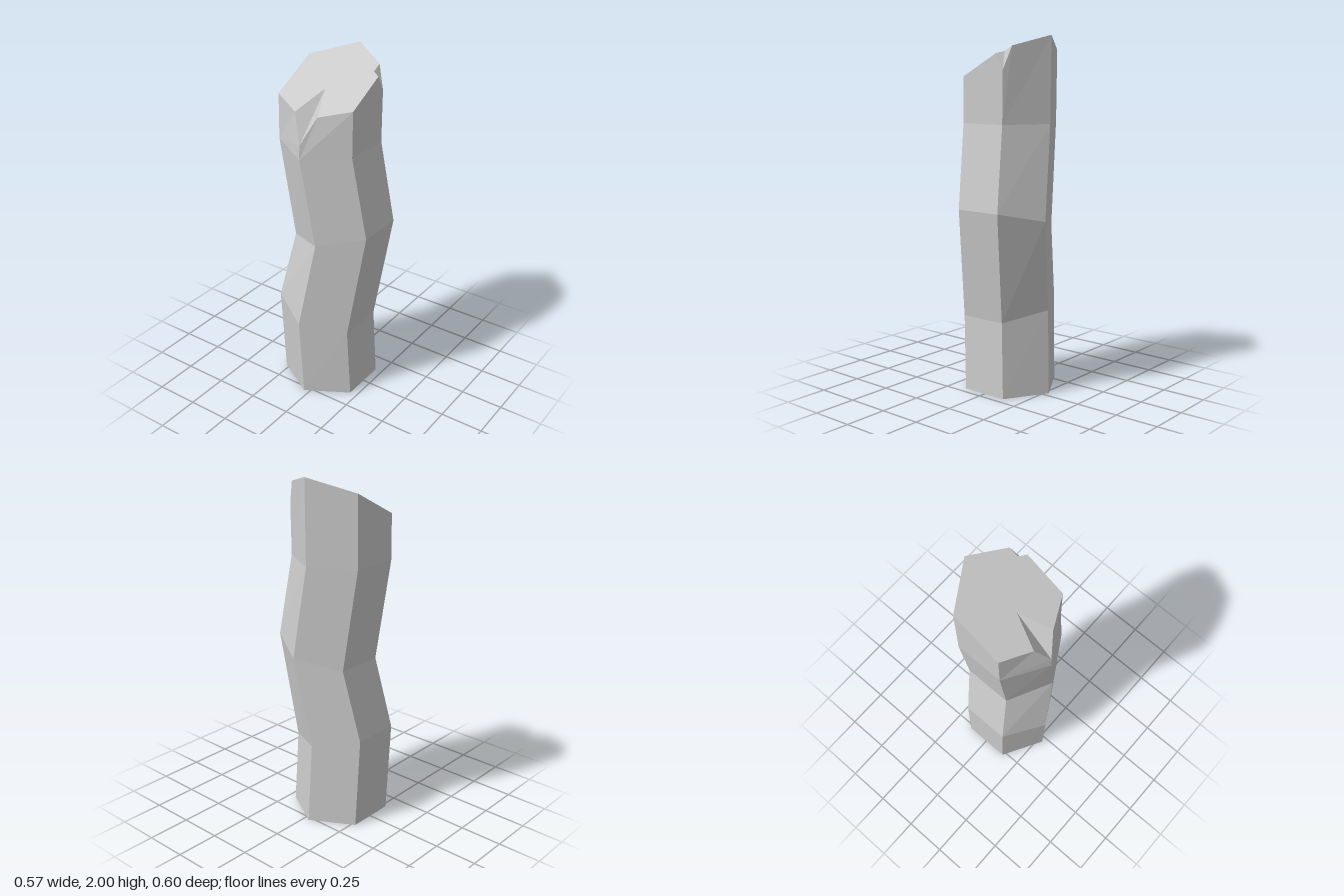
import * as THREE from 'three';

const HALF = 0.239, R = 0.278; // half width across the flats, corner radius

// six corners, counter-clockwise from above, starting at the front
function ring(cx, cz, height) {
  return Array.from({ length: 6 }, (_, k) => {
    const x = HALF * Math.sin(k * Math.PI / 3) / Math.sin(Math.PI / 3);
    const z = R * Math.cos(k * Math.PI / 3);
    return new THREE.Vector3(cx + x, height(x, z), cz + z);
  });
}

export function createModel() {
  const positions = [];
  const tri = (a, b, c) => [a, b, c].forEach(p => positions.push(p.x, p.y, p.z));
  const fan = pts => { for (let i = 1; i < pts.length - 1; i++) tri(pts[0], pts[i], pts[i + 1]); };

  // crooked trunk: tilted hexagonal rings
  const rings = [
    ring(-0.033, 0.004, () => 0),
    ring(-0.047, 0.023, x => 0.48 - 0.21 * x),
    ring(0.043, -0.022, x => 1.0 + 0.23 * x),
    ring(-0.033, 0.007, (x, z) => (z > 0.2 ? 1.505 : 1.525)),
  ];
  for (let i = 0; i < 3; i++) {
    for (let k = 0; k < 6; k++) {
      const n = (k + 1) % 6;
      fan([rings[i][k], rings[i][n], rings[i + 1][n], rings[i + 1][k]]);
    }
  }
  fan([...rings[0]].reverse());

  // slanted cut across the top
  const slope = z => 1.855 - 0.525 * z;
  const onCut = (x, z) => new THREE.Vector3(x, slope(z), z);
  const top = ring(-0.033, 0.003, (x, z) => slope(z + 0.003));

  // split corners: lowered corner, rim points either side, inner end
  const notches = {
    0: { y: 1.585, before: onCut(-0.103, 0.222), after: onCut(0.041, 0.222), inner: onCut(-0.033, 0.05) },
    2: { y: 1.815, before: onCut(0.206, -0.088), after: onCut(0.163, -0.165), inner: onCut(0.163, -0.113) },
  };
  const rim = [];
  top.forEach((corner, k) => {
    const notch = notches[k];
    if (!notch) { rim.push(corner); return; }
    corner.y = notch.y;
    rim.push(notch.before, notch.inner, notch.after);
    tri(notch.inner, notch.before, corner);
    tri(notch.inner, corner, notch.after);
  });

  // upper walls, following the notched rim
  for (let k = 0; k < 6; k++) {
    const n = (k + 1) % 6;
    const wall = [rings[3][k], rings[3][n], top[n]];
    if (notches[n]) wall.push(notches[n].before);
    if (notches[k]) wall.push(notches[k].after);
    fan([...wall, top[k]]);
  }

  // cut face
  const outline = rim.map(p => new THREE.Vector2(p.x, -p.z));
  THREE.ShapeUtils.triangulateShape(outline, []).forEach(([a, b, c]) => tri(rim[a], rim[b], rim[c]));

  const geometry = new THREE.BufferGeometry();
  geometry.setAttribute('position', new THREE.Float32BufferAttribute(positions, 3));
  geometry.computeVertexNormals();
  const log = new THREE.Mesh(geometry, new THREE.MeshStandardMaterial({ color: 0xcccccc, flatShading: true }));
  log.name = 'log';

  const group = new THREE.Group();
  group.name = 'crookedLog';
  group.add(log);
  return group;
}
